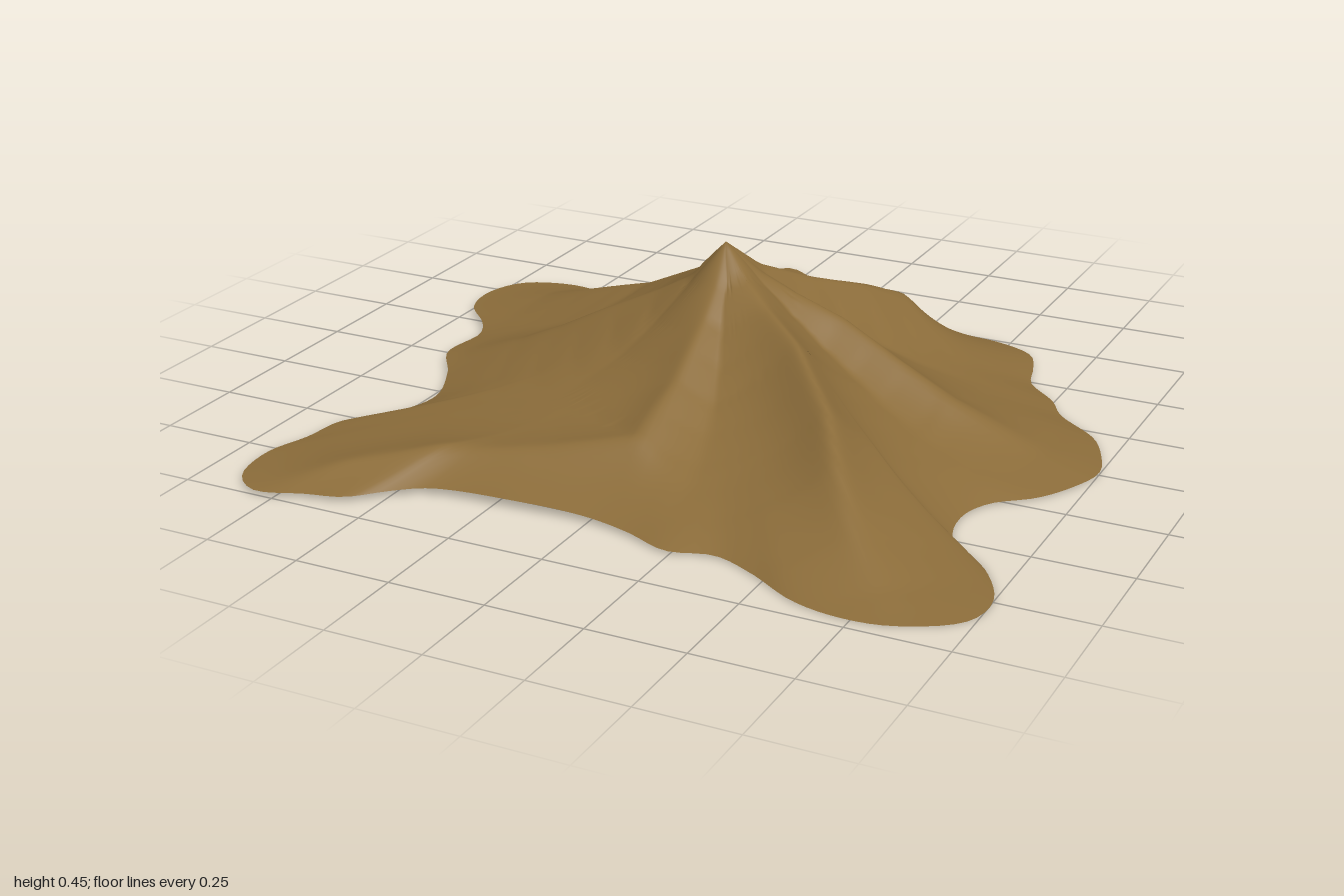
import * as THREE from 'three';

const PEAK = { x: -0.03, z: -0.02, y: 0.447 };

// Wavy rim seen from above, x then z, clockwise from the back lobe
const RIM = [
  -0.30, -1, -0.2, -0.95, -0.1, -0.87, 0, -0.79, 0.08, -0.745, 0.16, -0.735, 0.22, -0.705, 0.4, -0.72,
  0.5, -0.705, 0.59, -0.66, 0.63, -0.57, 0.66, -0.47, 0.75, -0.38, 0.80, -0.3, 0.92, -0.2, 0.97, -0.11,
  1, 0, 0.97, 0.1, 0.91, 0.2, 0.82, 0.28, 0.785, 0.37, 0.81, 0.5, 0.93, 0.61, 1, 0.75,
  0.98, 0.86, 0.84, 0.95, 0.72, 0.965, 0.6, 0.94, 0.46, 0.86, 0.35, 0.82, 0.24, 0.85, 0.12, 0.81,
  0, 0.79, -0.2, 0.8, -0.42, 0.82, -0.5, 0.87, -0.58, 0.94, -0.68, 0.965, -0.8, 1, -0.88, 0.94,
  -0.905, 0.8, -0.87, 0.68, -0.85, 0.56, -0.76, 0.45, -0.72, 0.32, -0.78, 0.16, -0.86, 0.03, -0.85, -0.12,
  -0.89, -0.2, -0.98, -0.3, -1, -0.42, -0.95, -0.53, -0.82, -0.58, -0.62, -0.56, -0.5, -0.59, -0.4, -0.64,
  -0.355, -0.76, -0.35, -0.9,
];

// Ridge crests as [x, height, z], with the width of their flanks
const TOP = [PEAK.x, PEAK.y, PEAK.z];
const RIDGES = [
  // front right
  { w: 0.12, p: [TOP, [0.05, 0.375, 0.03], [0.14, 0.335, 0.1], [0.28, 0.3, 0.22], [0.45, 0.235, 0.42], [0.55, 0.175, 0.58], [0.66, 0.105, 0.73], [0.78, 0.045, 0.86]] },
  // back right, ending in a steep nose
  { w: 0.11, p: [TOP, [0.03, 0.37, -0.1], [0.13, 0.31, -0.22], [0.22, 0.26, -0.36], [0.28, 0.215, -0.47]] },
  // right
  { w: 0.1, p: [TOP, [0.06, 0.365, -0.05], [0.14, 0.32, -0.07], [0.28, 0.27, -0.07], [0.45, 0.2, -0.03], [0.6, 0.14, 0], [0.85, 0.05, 0]] },
  // left
  { w: 0.11, p: [TOP, [-0.12, 0.345, -0.02], [-0.22, 0.29, -0.01], [-0.37, 0.22, 0.01], [-0.5, 0.155, 0.03], [-0.62, 0.105, 0.04], [-0.8, 0.05, 0.04]] },
  // back left
  { w: 0.13, p: [TOP, [-0.1, 0.355, -0.1], [-0.27, 0.25, -0.27], [-0.43, 0.165, -0.36], [-0.8, 0.055, -0.42]] },
  // front, bending along the front left arm
  { w: 0.1, p: [TOP, [-0.01, 0.36, 0.08], [0, 0.3, 0.17], [0.02, 0.21, 0.36], [0.02, 0.145, 0.56], [-0.2, 0.112, 0.64], [-0.45, 0.095, 0.72], [-0.65, 0.07, 0.85], [-0.78, 0.03, 0.95]] },
  // broad back shoulder and the back lobe
  { w: 0.25, p: [TOP, [-0.05, 0.34, -0.13], [-0.1, 0.225, -0.32], [-0.12, 0.125, -0.52]] },
  { w: 0.1, p: [[-0.02, 0.092, -0.57], [-0.1, 0.074, -0.74], [-0.23, 0.047, -0.92]] },
];

// Height of the plain cone at every 0.1 of distance from the peak
const CONE = [PEAK.y, 0.325, 0.235, 0.172, 0.128, 0.096, 0.073, 0.056, 0.044, 0.036, 0.03, 0.026, 0.022, 0.02, 0.018];
function coneHeight(x, z) {
  const r = Math.hypot(x - PEAK.x, z - PEAK.z) * 10;
  const i = Math.min(CONE.length - 2, Math.floor(r));
  return THREE.MathUtils.lerp(CONE[i], CONE[i + 1], r - i);
}

// How far the nearest point of a crest lifts the surface above the cone
function crestLift({ w, p }, x, z) {
  let nearest = Infinity, rise = 0;
  for (let i = 0; i < p.length - 1; i++) {
    const [ax, ay, az] = p[i], [bx, by, bz] = p[i + 1];
    const dx = bx - ax, dz = bz - az;
    const k = THREE.MathUtils.clamp(((x - ax) * dx + (z - az) * dz) / (dx * dx + dz * dz), 0, 1);
    const cx = ax + k * dx, cz = az + k * dz;
    const d = Math.hypot(x - cx, z - cz);
    if (d < nearest) {
      nearest = d;
      rise = ay + k * (by - ay) - coneHeight(cx, cz);
    }
  }
  return rise * Math.exp(-nearest * nearest / ((nearest + 0.025) * w));
}

function heightAt(x, z, t) {
  const lift = Math.max(0, ...RIDGES.map((ridge) => crestLift(ridge, x, z)));
  // The rim stays near the ground, slightly raised at the left, back and front middle
  const frontRise = z > 0.5 ? 0.015 * Math.exp(-(((x + 0.2) / 0.3) ** 2)) : 0;
  const rimHeight = 0.012 - 0.007 * x - 0.006 * z + frontRise;
  return THREE.MathUtils.lerp(coneHeight(x, z) + lift, rimHeight, t ** 8);
}

function createSlopeGeometry(sides = 240, rings = 56) {
  const points = [];
  for (let i = 0; i < RIM.length; i += 2) points.push(new THREE.Vector3(RIM[i], 0, RIM[i + 1]));
  const rim = new THREE.CatmullRomCurve3(points, true).getSpacedPoints(sides);

  const positions = [...TOP], index = [];
  for (let r = 1; r <= rings; r++) {
    const t = r / rings;
    for (let s = 0; s < sides; s++) {
      const x = THREE.MathUtils.lerp(PEAK.x, rim[s].x, t);
      const z = THREE.MathUtils.lerp(PEAK.z, rim[s].z, t);
      positions.push(x, heightAt(x, z, t), z);
    }
  }
  const at = (r, s) => (r === 0 ? 0 : 1 + (r - 1) * sides + (s % sides));
  for (let r = 0; r < rings; r++) {
    for (let s = 0; s < sides; s++) {
      index.push(at(r, s), at(r + 1, s + 1), at(r + 1, s));
      if (r > 0) index.push(at(r, s), at(r, s + 1), at(r + 1, s + 1));
    }
  }
  const geometry = new THREE.BufferGeometry();
  geometry.setAttribute('position', new THREE.Float32BufferAttribute(positions, 3));
  geometry.setIndex(index);
  geometry.computeVertexNormals();
  return geometry;
}

export function createModel() {
  const earth = new THREE.MeshStandardMaterial({ color: 0x8b6c3a, side: THREE.DoubleSide });
  earth.name = 'earthBrown';

  // Open mountain shell with ridges running down from the peak
  const mountain = new THREE.Mesh(createSlopeGeometry(), earth);
  mountain.name = 'mountain';

  const model = new THREE.Group();
  model.name = 'mountainModel';
  model.add(mountain);
  return model;
}
